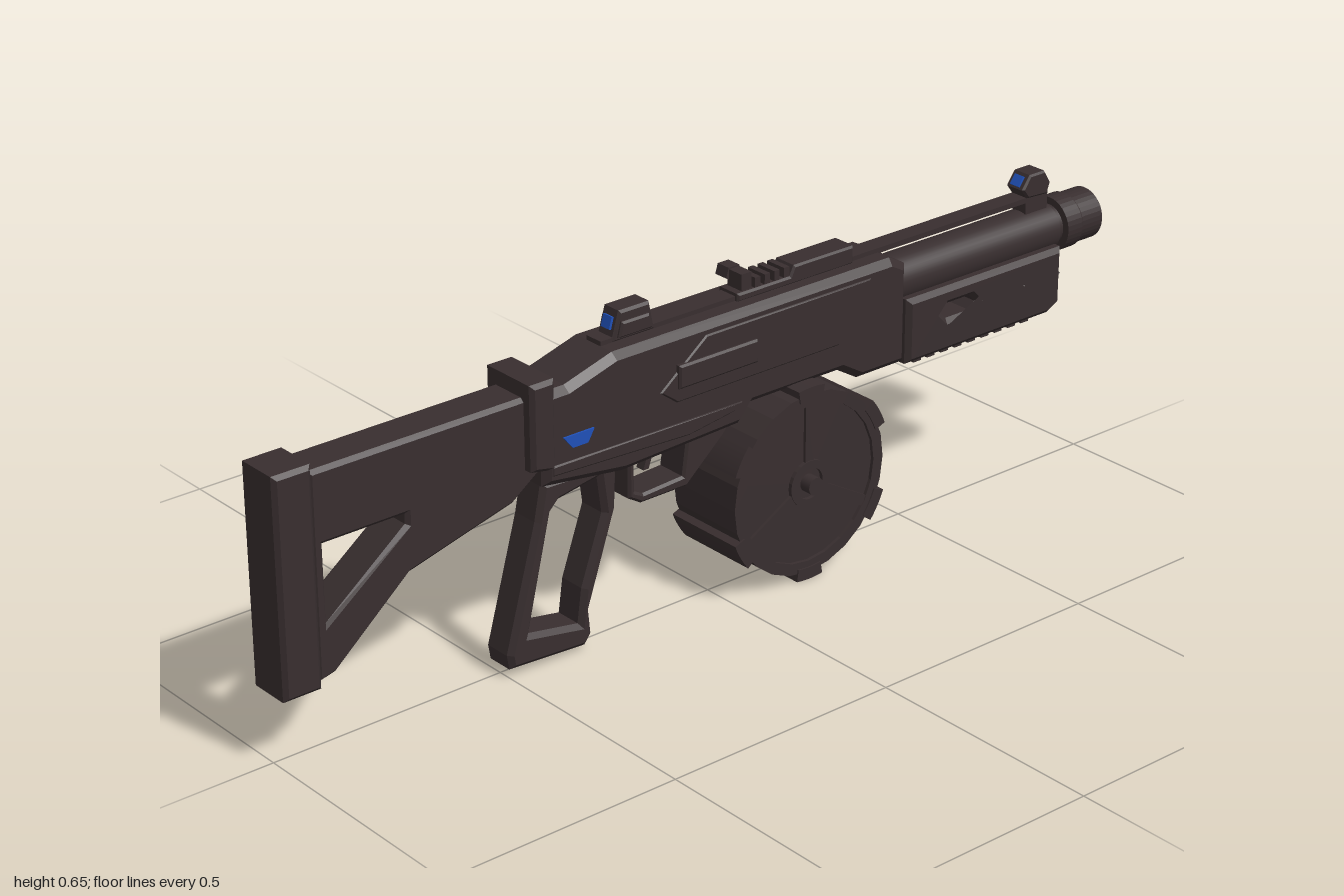
import * as THREE from 'three';

export function createModel() {
  const group = new THREE.Group();
  const mat = (name, color) => {
    const m = new THREE.MeshStandardMaterial({ color });
    m.name = name;
    return m;
  };
  const dark = mat('dark gunmetal', 0x382e2f);
  const blue = mat('blue light', 0x2050b8);
  const green = mat('green lens', 0x2f7863);
  const orange = mat('orange trim', 0x8a5a28);

  const add = (name, geo, x = 0, y = 0, z = 0, m = dark) => {
    const mesh = new THREE.Mesh(geo, m);
    mesh.name = name;
    mesh.position.set(x, y, z);
    group.add(mesh);
    return mesh;
  };
  // box given by its lower and upper limits
  const box = (name, x0, x1, y0, y1, z0, z1, m) =>
    add(name, new THREE.BoxGeometry(x1 - x0, y1 - y0, z1 - z0), (x0 + x1) / 2, (y0 + y1) / 2, (z0 + z1) / 2, m);
  const vecs = (pts) => pts.map(([x, y]) => new THREE.Vector2(x, y));
  // side outline extruded from z0 to z1, with an optional chamfer inside the outline
  const slabGeo = (shape, z0, z1, bevel) => new THREE.ExtrudeGeometry(shape, {
    depth: z1 - z0 - 2 * bevel, bevelEnabled: bevel > 0, bevelSize: bevel, bevelThickness: bevel,
    bevelOffset: -bevel, bevelSegments: 1, curveSegments: 12,
  }).translate(0, 0, z0 + bevel);
  const slab = (name, pts, z0, z1, bevel = 0, holes = [], m = dark) => {
    const shape = new THREE.Shape(vecs(pts));
    holes.forEach((h) => shape.holes.push(new THREE.Path(vecs(h))));
    return add(name, slabGeo(shape, z0, z1, bevel), 0, 0, 0, m);
  };
  const rect = (x0, x1, y0, y1) => [[x0, y0], [x1, y0], [x1, y1], [x0, y1]];

  // Stock
  slab('buttPad', rect(-1, -0.92, 0.14, 0.575), -0.05, 0.05, 0.008);
  slab('stock', [[-0.925, 0.15], [-0.885, 0.16], [-0.72, 0.3], [-0.49, 0.36], [-0.42, 0.41], [-0.42, 0.56], [-0.925, 0.56]],
    -0.044, 0.044, 0.008, [[[-0.9, 0.26], [-0.9, 0.415], [-0.725, 0.415], [-0.725, 0.395]]]);
  slab('stockCollar', [[-0.465, 0.42], [-0.41, 0.41], [-0.41, 0.59], [-0.465, 0.59]], -0.068, 0.068, 0.008);

  // Receiver
  slab('receiver', [[-0.435, 0.38], [-0.25, 0.355], [0.03, 0.365], [0.06, 0.4], [0.28, 0.4], [0.33, 0.37], [0.45, 0.37],
    [0.45, 0.575], [0.41, 0.597], [-0.27, 0.597], [-0.38, 0.565], [-0.435, 0.565]], -0.065, 0.065, 0.014);
  slab('frontSidePanel', [[-0.17, 0.49], [-0.13, 0.46], [0.27, 0.46], [0.35, 0.575], [-0.06, 0.575]], 0.06, 0.069, 0.003);
  slab('ejectionCover', rect(-0.13, 0.06, 0.488, 0.535), 0.06, 0.076, 0.004);
  slab('lowerSideBand', [[-0.42, 0.4], [-0.1, 0.385], [0.01, 0.4], [0.03, 0.415], [-0.42, 0.42]], -0.068, 0.068, 0.003);

  // Back panel with its lens
  slab('backSidePanel', [[-0.155, 0.48], [-0.08, 0.435], [0.36, 0.435], [0.445, 0.53], [0.385, 0.583], [-0.03, 0.583]],
    -0.084, -0.055, 0.012);
  const lens = (name, s, z, m) => {
    const shape = new THREE.Shape();
    shape.moveTo(-0.193 * s, -0.03 * s);
    shape.bezierCurveTo(-0.09 * s, -0.065 * s, 0.1 * s, -0.055 * s, 0.193 * s, 0.03 * s);
    shape.bezierCurveTo(0.09 * s, 0.065 * s, -0.1 * s, 0.055 * s, -0.193 * s, -0.03 * s);
    add(name, slabGeo(shape, z, z + 0.005, 0), 0.147, 0.51, 0, m);
  };
  lens('lensTrim', 1.03, -0.0855, orange);
  lens('lens', 0.97, -0.087, green);

  // Blue side lights
  for (const s of [-1, 1]) {
    const z = s * 0.066;
    slab('sideLight', [[-0.375, 0.445], [-0.34, 0.445], [-0.325, 0.47], [-0.395, 0.47]], z - 0.003, z + 0.003, 0, [], blue);
  }

  // Grip, trigger and guard
  slab('grip', [[-0.42, 0.375], [-0.435, 0.3], [-0.505, 0.05], [-0.5, 0.02], [-0.325, 0.01], [-0.31, 0.03], [-0.315, 0.08],
    [-0.25, 0.27], [-0.245, 0.37]], -0.038, 0.038, 0.01,
  [[[-0.455, 0.08], [-0.4, 0.31], [-0.38, 0.33], [-0.29, 0.345], [-0.28, 0.27], [-0.33, 0.13], [-0.34, 0.06]]]);
  slab('triggerGuard', [[-0.22, 0.37], [-0.22, 0.28], [-0.19, 0.262], [-0.08, 0.262], [0.01, 0.34], [0.06, 0.4], [-0.1, 0.4]],
    -0.036, 0.036, 0.005, [[[-0.205, 0.365], [-0.205, 0.29], [-0.185, 0.28], [-0.09, 0.285], [-0.08, 0.355]]]);
  slab('trigger', [[-0.17, 0.365], [-0.155, 0.34], [-0.165, 0.312], [-0.152, 0.312], [-0.142, 0.34], [-0.142, 0.365]], -0.01, 0.01);

  // Drum magazine, lathed about z
  const drum = new THREE.Group();
  drum.name = 'drumMagazine';
  drum.position.set(0.18, 0.205, 0);
  group.add(drum);
  const drumPart = (name, geo) => {
    const mesh = new THREE.Mesh(geo, dark);
    mesh.name = name;
    drum.add(mesh);
    return mesh;
  };
  const drumCyl = (name, r, len, n = 40) => drumPart(name, new THREE.CylinderGeometry(r, r, len, n).rotateX(Math.PI / 2));
  drumCyl('drumBody', 0.187, 0.164, 48);
  const ring = (name, r0, r1, half, a0 = 0, a1 = Math.PI * 2) => {
    const shape = new THREE.Shape();
    shape.absarc(0, 0, r1, a0, a1, false);
    if (a1 - a0 > 6) shape.holes.push(new THREE.Path().absarc(0, 0, r0, 0, Math.PI * 2, true));
    else shape.absarc(0, 0, r0, a1, a0, true);
    return drumPart(name, slabGeo(shape, -half, half, 0));
  };
  ring('drumRim', 0.165, 0.189, 0.089);
  ring('hubRing', 0.032, 0.048, 0.09);
  for (let i = 0; i < 6; i++) {
    const a = Math.PI / 6 + (i * Math.PI) / 3;
    ring('drumLug', 0.178, 0.203, 0.092, a - 0.16, a + 0.16);
  }
  for (let i = 0; i < 3; i++) {
    const a = Math.PI / 2 + (i * Math.PI * 2) / 3;
    drumPart('drumSpoke', new THREE.BoxGeometry(0.135, 0.022, 0.176).translate(0.107, 0, 0)).rotation.z = a;
  }
  drumCyl('drumHub', 0.018, 0.214, 20);

  // Handguard with slots and lower rail
  const slot = (x0, x1) => [[x0, 0.447], [x0 + 0.015, 0.432], [x1 - 0.015, 0.432], [x1, 0.447], [x1 - 0.015, 0.463], [x0 + 0.015, 0.463]];
  slab('handguard', [[0.45, 0.365], [0.84, 0.365], [0.87, 0.38], [0.87, 0.5], [0.45, 0.5]], -0.068, 0.068, 0.01,
    [slot(0.543, 0.635), slot(0.66, 0.752), slot(0.775, 0.85)]);
  box('lowerRail', 0.51, 0.83, 0.352, 0.37, -0.018, 0.018);
  for (let i = 0; i < 9; i++) box('lowerRailTooth', 0.51 + i * 0.037, 0.53 + i * 0.037, 0.338, 0.36, -0.022, 0.022);

  // Barrel and muzzle
  const tube = (name, r, x0, x1) =>
    add(name, new THREE.CylinderGeometry(r, r, x1 - x0, 36).rotateZ(-Math.PI / 2), (x0 + x1) / 2, 0.523, 0);
  tube('barrel', 0.05, 0.4, 0.88);
  tube('barrelNeck', 0.042, 0.87, 0.91);
  const muzzle = [[0.03, 0.895], [0.057, 0.895], [0.057, 0.935], [0.053, 0.94], [0.053, 0.995], [0.048, 1], [0.035, 1], [0.035, 0.96], [0, 0.96]];
  const muzzleGeo = new THREE.LatheGeometry(vecs(muzzle), 36).toNonIndexed();
  muzzleGeo.computeVertexNormals();
  add('muzzle', muzzleGeo.rotateZ(-Math.PI / 2), 0, 0.523, 0);

  // Top strip and rail
  box('topStrip', -0.27, 0.85, 0.595, 0.606, -0.02, 0.02);
  slab('topCover', [[0.05, 0.595], [0.34, 0.595], [0.34, 0.632], [0.19, 0.632], [0.18, 0.612], [0.05, 0.612]], -0.028, 0.028, 0.004);
  for (let i = 0; i < 4; i++) box('topRailRib', 0.095 + i * 0.024, 0.108 + i * 0.024, 0.605, 0.632, -0.024, 0.024);
  box('knobPost', 0.065, 0.09, 0.605, 0.645, -0.02, 0.02);
  slab('knob', [[0.058, 0.628], [0.07, 0.622], [0.085, 0.622], [0.096, 0.63], [0.09, 0.648], [0.064, 0.648]], -0.046, -0.015);

  // Sights with blue rear-facing marks
  slab('rearSight', [[-0.245, 0.597], [-0.145, 0.597], [-0.157, 0.655], [-0.228, 0.655]], -0.024, 0.024, 0.005);
  slab('rearSightEars', [[-0.235, 0.605], [-0.155, 0.605], [-0.162, 0.635], [-0.227, 0.635]], -0.031, 0.031, 0.004);
  box('frontSightBase', 0.81, 0.87, 0.56, 0.61, -0.018, 0.018);
  slab('frontSight', [[0.795, 0.625], [0.81, 0.605], [0.865, 0.602], [0.873, 0.625], [0.855, 0.653], [0.815, 0.653]], -0.024, 0.024, 0.004);
  const rearMark = box('rearSightMark', -0.2405, -0.2345, 0.618, 0.642, -0.012, 0.012, blue);
  rearMark.rotation.z = -0.28;
  const frontMark = box('frontSightMark', 0.8, 0.806, 0.627, 0.65, -0.012, 0.012, blue);
  frontMark.rotation.z = -0.62;

  return group;
}
